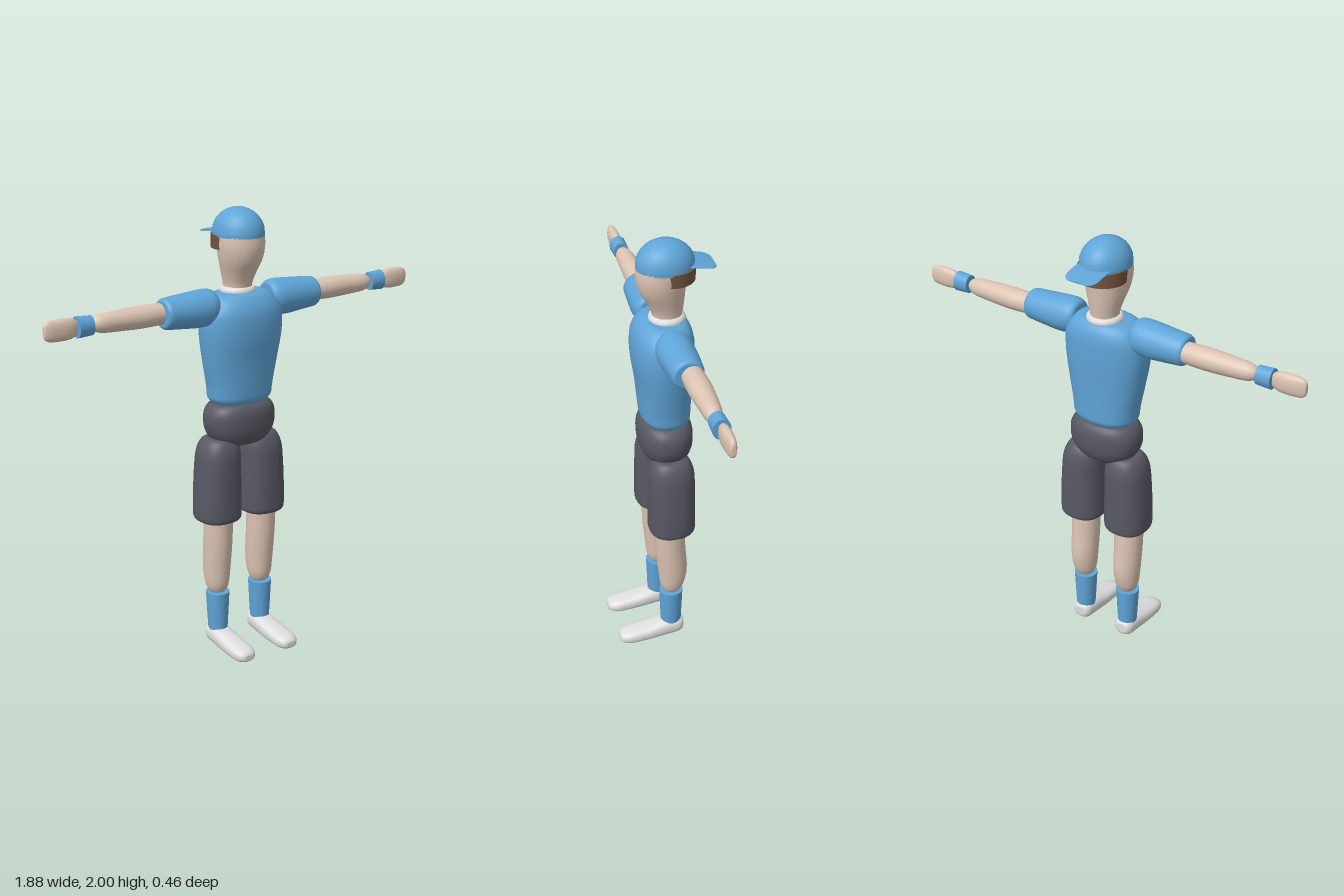
import * as THREE from 'three';

const material = (name, color) => {
  const m = new THREE.MeshStandardMaterial({ color });
  m.name = name;
  return m;
};

// Loft along y. Each section is [y, centreX, centreZ, radiusX, radiusZ].
// start and end are [rounding length, remaining radius share]; n squares off the rings.
function loft(sections, { start = [0, 1], end = [0, 1], n = 2, sides = 32 } = {}) {
  const times = sections.map(s => s[0]);
  const spline = new THREE.CubicInterpolant(times, sections.flatMap(s => s.slice(1)), 4);
  const y0 = times[0], y1 = times[times.length - 1];
  const levels = [];
  for (let k = 0; k < 7; k++) levels.push(y0 + start[0] * (1 - Math.cos(k / 7 * Math.PI / 2)));
  for (let k = 0; k <= 14; k++) {
    levels.push(THREE.MathUtils.lerp(y0 + start[0], y1 - end[0], k / 14));
  }
  for (let k = 6; k >= 0; k--) levels.push(y1 - end[0] * (1 - Math.cos(k / 7 * Math.PI / 2)));
  const rows = [...new Set(levels.map(v => +v.toFixed(5)))];
  const round = (d, [length, flat]) => {
    if (d >= length) return 1;
    return flat + (1 - flat) * Math.sqrt(Math.max(0, 1 - (1 - d / length) ** 2));
  };
  const power = v => Math.sign(v) * Math.abs(v) ** (2 / n);
  const pos = [], index = [];
  const ring = y => {
    const [cx, cz, rx, rz] = spline.evaluate(y);
    const s = round(y - y0, start) * round(y1 - y, end);
    for (let i = 0; i < sides; i++) {
      const a = i / sides * Math.PI * 2;
      pos.push(cx + rx * s * power(Math.cos(a)), y, cz + rz * s * power(Math.sin(a)));
    }
    return [cx, y, cz];
  };
  rows.forEach(ring);
  for (let j = 0; j < rows.length - 1; j++) {
    for (let i = 0; i < sides; i++) {
      const a = j * sides + i, b = j * sides + (i + 1) % sides;
      index.push(a, a + sides, b, b, a + sides, b + sides);
    }
  }
  // Flat end caps with their own corners
  [rows[0], rows[rows.length - 1]].forEach((y, top) => {
    const first = pos.length / 3;
    const centre = ring(y);
    pos.push(...centre);
    for (let i = 0; i < sides; i++) {
      const a = first + i, b = first + (i + 1) % sides;
      index.push(first + sides, top ? b : a, top ? a : b);
    }
  });
  const geometry = new THREE.BufferGeometry();
  geometry.setAttribute('position', new THREE.Float32BufferAttribute(pos, 3));
  geometry.setIndex(index);
  geometry.computeVertexNormals();
  return geometry;
}

export function createModel() {
  const blue = material('blue cloth', 0x5fa5d8);
  const skin = material('skin', 0xdcc4b3);
  const grey = material('dark grey shorts', 0x575963);
  const white = material('white', 0xdedede);
  const brown = material('brown hair', 0x745440);

  const model = new THREE.Group();
  model.name = 'figure';
  const add = (name, geometry, mat, parent = model) => {
    const mesh = new THREE.Mesh(geometry, mat);
    mesh.name = name;
    parent.add(mesh);
    return mesh;
  };

  // Head, hair and backwards cap
  add('head', loft([
    [1.61, 0, -0.03, 0.062, 0.064], [1.67, 0, -0.03, 0.062, 0.066],
    [1.72, 0, -0.022, 0.074, 0.08], [1.78, 0, -0.008, 0.092, 0.099],
    [1.84, 0, -0.005, 0.102, 0.109], [1.89, 0, -0.01, 0.102, 0.11]]), skin);
  add('hair', loft([
    [1.825, 0, -0.048, 0.104, 0.1], [1.885, 0, -0.044, 0.107, 0.106]]), brown);
  add('cap', loft([
    [1.88, 0, -0.022, 0.106, 0.124], [1.94, 0, -0.022, 0.106, 0.124],
    [2, 0, -0.022, 0.104, 0.122]], { end: [0.105, 0] }), blue);
  add('visor', loft([
    [0.06, 0, 1.9, 0.075, 0.007], [0.14, 0, 1.892, 0.078, 0.007],
    [0.228, 0, 1.876, 0.075, 0.006]], { end: [0.04, 0.55], n: 2.6 }).rotateX(-Math.PI / 2), blue);

  // Collar and shirt
  const collar = add('collar', new THREE.TorusGeometry(0.06, 0.02, 12, 32).rotateX(Math.PI / 2), white);
  collar.position.set(0, 1.643, -0.03);
  add('shirt', loft([
    [1.155, 0, -0.018, 0.147, 0.106], [1.22, 0, -0.016, 0.152, 0.11],
    [1.34, 0, -0.012, 0.174, 0.117], [1.46, 0, -0.007, 0.192, 0.128],
    [1.54, 0, -0.007, 0.194, 0.128], [1.64, 0, -0.016, 0.175, 0.12]],
    { start: [0.035, 0.78], end: [0.09, 0.6], n: 2.3 }), blue);

  // Shorts
  add('hips', loft([
    [0.965, 0, -0.018, 0.15, 0.112], [1.07, 0, -0.018, 0.167, 0.118],
    [1.155, 0, -0.018, 0.162, 0.116]],
    { start: [0.09, 0.6], end: [0.06, 0.72], n: 2.3 }), grey);

  for (const side of [1, -1]) {
    const label = side > 0 ? 'left' : 'right';
    const arm = new THREE.Group();
    arm.name = label + 'Arm';
    arm.position.set(0, 1.59, -0.02);
    const leg = new THREE.Group();
    leg.name = label + 'Leg';
    leg.position.x = side * 0.117;
    model.add(arm, leg);

    // Arm parts run outwards: [x, y, z, half height, half depth]
    const armPart = (name, sections, mat, options) => {
      const rows = sections.map(([x, y, z, h, d]) => [x, -side * y, z, h, d]);
      const geometry = loft(rows, options).rotateZ(-Math.PI / 2);
      if (side < 0) geometry.rotateY(Math.PI).scale(1, 1, 1);
      return add(name, geometry, mat, arm);
    };
    // Half a turn reverses depth, so depth offsets are given per side
    const z = side;
    const up = side;
    armPart('sleeve', [
      [0.14, 0.006 * up, 0.01 * z, 0.078, 0.078], [0.22, 0, 0.011 * z, 0.08, 0.08],
      [0.3, 0, 0.01 * z, 0.074, 0.076], [0.396, 0, 0.01 * z, 0.066, 0.068]],
      blue, { start: [0.05, 0.7], end: [0.02, 0.8] });
    armPart('forearm', [
      [0.37, 0, -0.004 * z, 0.044, 0.045], [0.48, 0, -0.004 * z, 0.048, 0.05],
      [0.6, 0, -0.003 * z, 0.044, 0.044], [0.725, 0, 0, 0.037, 0.035]],
      skin, { end: [0.06, 0.3] });
    armPart('wristband', [
      [0.725, 0, 0, 0.041, 0.035], [0.793, 0, 0, 0.045, 0.038]], blue);
    armPart('hand', [
      [0.785, 0, 0, 0.04, 0.02], [0.86, 0, 0, 0.046, 0.024],
      [0.94, 0, 0, 0.042, 0.016]],
      skin, { start: [0.045, 0.35], end: [0.03, 0.5], n: 2.3 });

    // Leg parts run upwards
    add('shortsLeg', loft([
      [0.622, 0, -0.02, 0.102, 0.104], [0.72, 0, -0.02, 0.102, 0.104],
      [0.88, -side * 0.003, -0.02, 0.096, 0.102], [1.0, -side * 0.01, -0.02, 0.09, 0.098]],
      { start: [0.025, 0.86], end: [0.09, 0.6], n: 2.4 }), grey, leg);
    add('shin', loft([
      [0.27, 0, -0.022, 0.05, 0.05], [0.38, 0, -0.027, 0.06, 0.066],
      [0.5, 0, -0.018, 0.064, 0.068], [0.65, 0, -0.01, 0.066, 0.066]],
      { start: [0.06, 0.6] }), skin, leg);
    add('sock', loft([
      [0.07, 0, -0.02, 0.041, 0.047], [0.16, 0, -0.02, 0.047, 0.05],
      [0.268, 0, -0.02, 0.053, 0.054]]), blue, leg);
    add('shoe', loft([
      [-0.075, 0, -0.063, 0.046, 0.041], [0, 0, -0.058, 0.05, 0.043],
      [0.1, 0, -0.044, 0.054, 0.037], [0.228, 0, -0.032, 0.052, 0.031]],
      { start: [0.035, 0.5], end: [0.06, 0.35], n: 2.5 }).rotateX(Math.PI / 2), white, leg);
  }
  return model;
}
